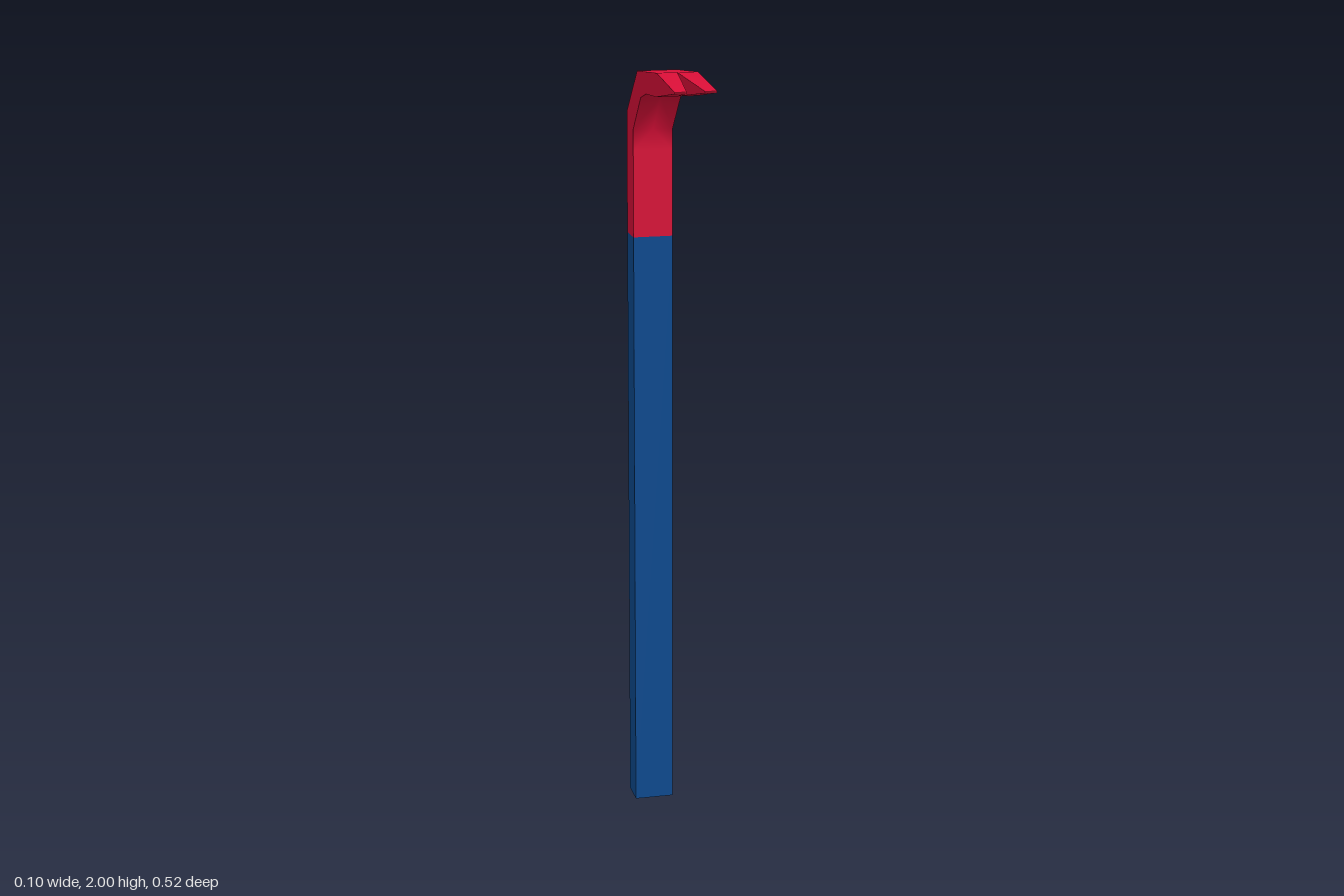
import * as THREE from 'three';
import { toCreasedNormals } from 'three/addons/utils/BufferGeometryUtils.js';

const HALF = 0.051; // half width of the bar
const SLOT = 0.022; // half width of the nail slot at the tips

// Stations along the hook: outer z, outer y, inner z, inner y, inner x
const STATIONS = [
  [-0.262, 1.55, -0.188, 1.55, 0],
  [-0.262, 1.77, -0.188, 1.77, 0],
  [-0.262, 1.86, -0.188, 1.825, 0],
  [-0.14, 1.978, -0.1, 1.917, 0],
  [-0.04, 1.988, -0.04, 1.934, 0],
  [0.075, 2.0, 0.07, 1.942, 0],
  [0.262, 1.979, 0.262, 1.975, SLOT],
];

// One half of the hook, lofted through the stations; side is +1 or -1
function halfHook(side) {
  const rings = STATIONS.map(([zo, yo, zi, yi, x]) => [
    [side * x, yo, zo], [side * HALF, yo, zo],
    [side * HALF, yi, zi], [side * x, yi, zi],
  ]);
  const pos = [];
  const quad = (a, b, c, d) => {
    const loop = side > 0 ? [a, b, c, a, c, d] : [a, c, b, a, d, c];
    loop.forEach((p) => pos.push(...p));
  };
  const last = rings.length - 1;
  for (let k = 0; k < last; k++) {
    // The inner wall exists only along the slot
    const faces = k === last - 1 ? 4 : 3;
    for (let i = 0; i < faces; i++) {
      const j = (i + 1) % 4;
      quad(rings[k][i], rings[k + 1][i], rings[k + 1][j], rings[k][j]);
    }
  }
  quad(...rings[last].slice().reverse()); // blunt tip
  const geo = new THREE.BufferGeometry();
  geo.setAttribute('position', new THREE.Float32BufferAttribute(pos, 3));
  return toCreasedNormals(geo, Math.PI / 3);
}

export function createModel() {
  const group = new THREE.Group();
  group.name = 'pryBar';
  const red = new THREE.MeshStandardMaterial({ color: 0xdc0f38 });
  const blue = new THREE.MeshStandardMaterial({ color: 0x0d4b91 });

  // Straight shaft
  const shaft = new THREE.Mesh(new THREE.BoxGeometry(HALF * 2, 1.55, 0.074), blue);
  shaft.position.set(0, 0.775, -0.225);
  shaft.name = 'shaft';
  group.add(shaft);

  // Curved hook with its forked claw
  for (const side of [1, -1]) {
    const hook = new THREE.Mesh(halfHook(side), red);
    hook.name = side > 0 ? 'leftClawHook' : 'rightClawHook';
    group.add(hook);
  }
  return group;
}
